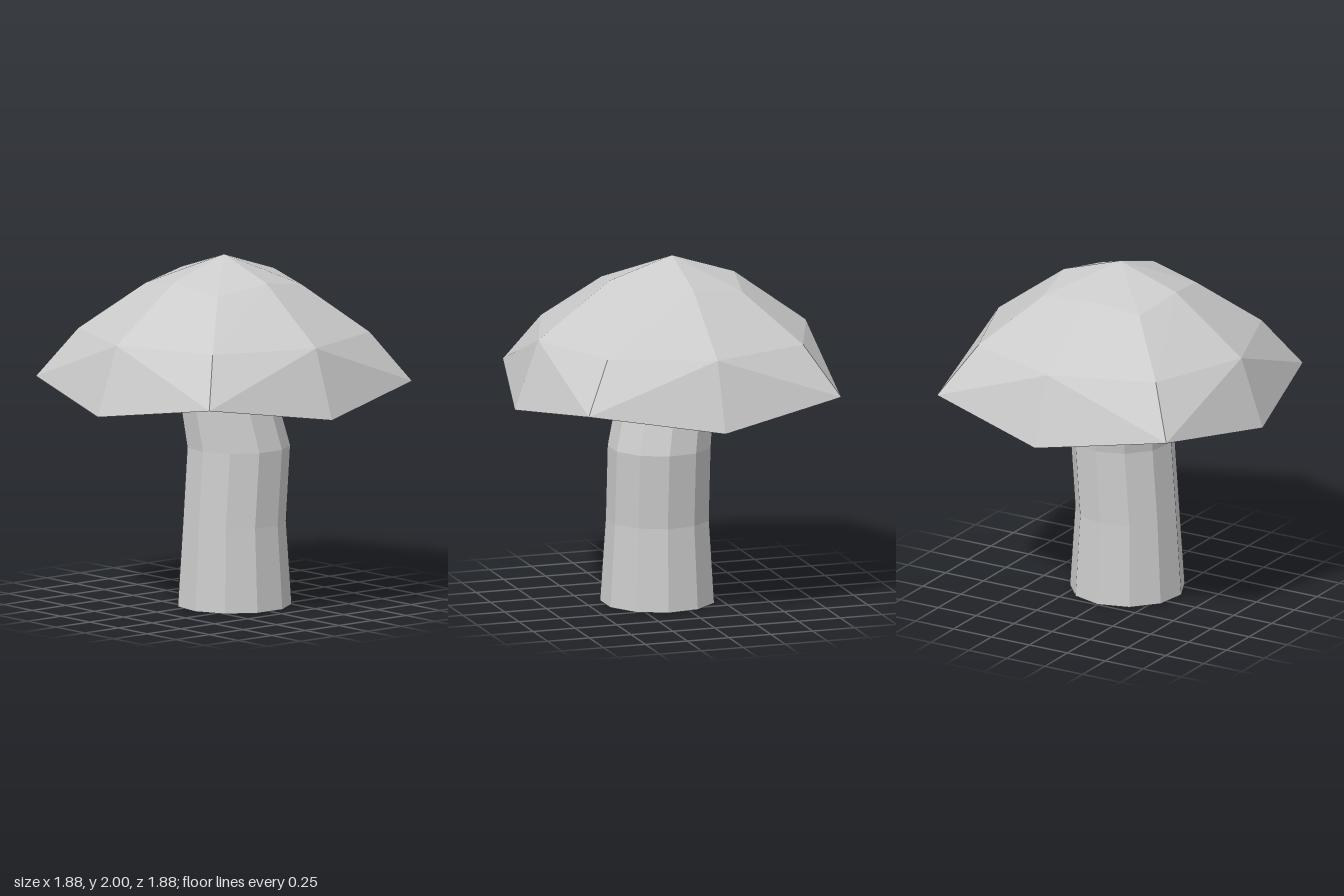
import * as THREE from 'three';

// Skin a list of rings, ordered top to bottom; a one-point ring becomes a fan.
// Diagonals alternate so that mirrored panels fold the same way.
function loft(rings) {
  const out = [];
  const tri = (...pts) => pts.forEach((p) => out.push(...p));
  for (let r = 0; r < rings.length - 1; r++) {
    const a = rings[r], b = rings[r + 1];
    const n = Math.max(a.length, b.length);
    for (let i = 0; i < n; i++) {
      const j = (i + 1) % n;
      if (a.length === 1) tri(a[0], b[i], b[j]);
      else if (b.length === 1) tri(a[i], b[0], a[j]);
      else if (i % 2 === 0) { tri(a[i], b[i], b[j]); tri(a[i], b[j], a[j]); }
      else { tri(a[i], b[i], a[j]); tri(a[j], b[i], b[j]); }
    }
  }
  const geo = new THREE.BufferGeometry();
  geo.setAttribute('position', new THREE.Float32BufferAttribute(out, 3));
  geo.computeVertexNormals();
  return geo;
}

// Eight-point cap ring: four side points and four diagonal corners
function capRing(side, sideY, corner, cornerY) {
  return Array.from({ length: 8 }, (_, i) => {
    const t = (i * Math.PI) / 4;
    const isCorner = i % 2 === 1;
    const r = isCorner ? corner * Math.SQRT2 : side;
    return [r * Math.sin(t), isCorner ? cornerY : sideY, r * Math.cos(t)];
  });
}

// Eleven-sided stem ring with one corner pointing back
function stemRing(y, r, cx, cz) {
  return Array.from({ length: 11 }, (_, i) => {
    const t = Math.PI + (i * 2 * Math.PI) / 11;
    return [cx + r * Math.sin(t), y, cz + r * Math.cos(t)];
  });
}

export function createModel() {
  const group = new THREE.Group();
  group.name = 'mushroom';

  // Cap: open, faceted shell with a drooping rim
  const cap = new THREE.Mesh(
    loft([
      [[0, 2, 0]],
      capRing(0.37, 1.88, 0.315, 1.83),
      capRing(0.8, 1.565, 0.585, 1.565),
      capRing(0.94, 1.17, 0.755, 1.285),
    ]),
    new THREE.MeshStandardMaterial({ color: 0xcccccc, flatShading: true, side: THREE.DoubleSide })
  );
  cap.name = 'cap';
  group.add(cap);

  // Stem: slightly bent, tapering up into the cap, closed at both ends
  const stem = new THREE.Mesh(
    loft([
      [[-0.075, 1.77, -0.065]],
      stemRing(1.77, 0.25, -0.075, -0.065),
      stemRing(1.34, 0.27, -0.023, 0.007),
      stemRing(0.91, 0.298, 0.032, 0.083),
      stemRing(0.48, 0.298, 0, 0.083),
      stemRing(0, 0.329, 0, 0.084),
      [[0, 0, 0.084]],
    ]),
    new THREE.MeshStandardMaterial({ color: 0xcccccc, flatShading: true })
  );
  stem.name = 'stem';
  group.add(stem);

  return group;
}
